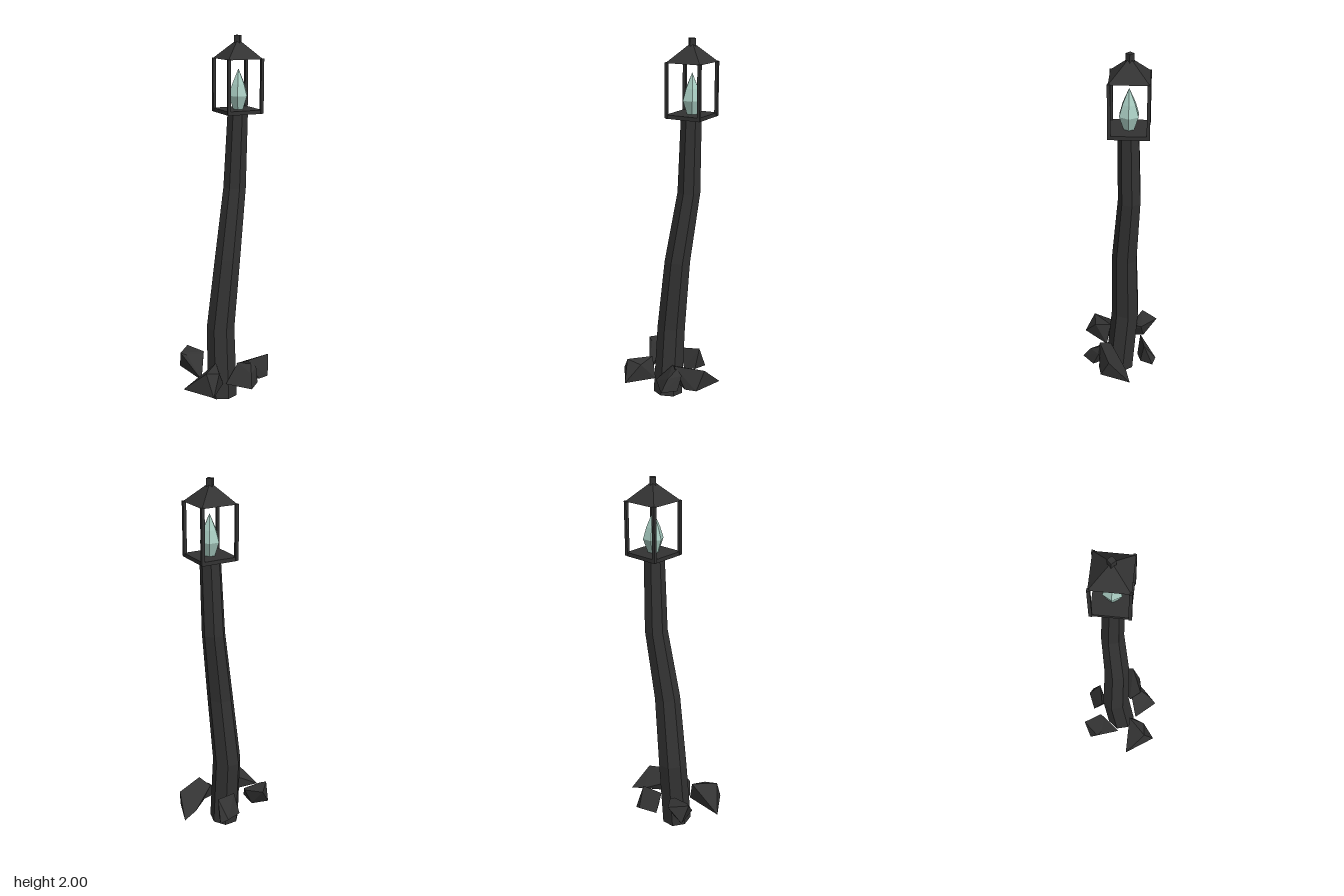
import * as THREE from 'three';
import { ConvexGeometry } from 'three/addons/geometries/ConvexGeometry.js';

const iron = new THREE.MeshStandardMaterial({ color: 0x333333 });
iron.name = 'dark iron';
const glow = new THREE.MeshStandardMaterial({ color: 0xa9cdc2 });
glow.name = 'pale teal';

// Faceted copy of a geometry
function facet(geometry) {
  const g = geometry.index ? geometry.toNonIndexed() : geometry;
  g.computeVertexNormals();
  return g;
}

function add(parent, name, geometry, material, x = 0, y = 0, z = 0) {
  const mesh = new THREE.Mesh(facet(geometry), material);
  mesh.name = name;
  mesh.position.set(x, y, z);
  parent.add(mesh);
  return mesh;
}

// Crooked seven-sided pole: each ring is [x, y, z, radius, tilt towards z]
function poleGeometry() {
  const rings = [
    [-0.017, 0.01, -0.005, 0.083, 0.1],
    [-0.0135, 0.41, -0.038, 0.079, 0.04],
    [0.027, 0.81, -0.034, 0.071, 0.03],
    [0.081, 1.2, -0.06, 0.062, 0],
    [0.095, 1.605, -0.054, 0.055, 0],
  ];
  const g = new THREE.CylinderGeometry(1, 1, 1, 7, rings.length - 1);
  const p = g.attributes.position;
  for (let i = 0; i < p.count; i++) {
    const [x, y, z, r, tilt] = rings[Math.round((p.getY(i) + 0.5) * (rings.length - 1))];
    const dz = p.getZ(i) * r;
    p.setXYZ(i, x + p.getX(i) * r, y + dz * tilt, z + dz);
  }
  return g;
}

// Corner points of each angular stone around the pole
const stones = {
  stoneBackRight: [
    [-0.143, 0.25, -0.218], [-0.079, 0.235, -0.127], [-0.22, 0.25, -0.132], [-0.19, 0.24, -0.11],
    [-0.092, 0.23, -0.102], [-0.207, 0.15, -0.177], [-0.143, 0.12, -0.011], [-0.12, 0.14, -0.14],
  ],
  stoneFrontRight: [
    [-0.186, 0.24, 0.157], [-0.084, 0.24, 0.055], [-0.105, 0.22, 0.146],
    [-0.277, 0.12, 0.052], [-0.168, 0.12, 0.214], [-0.05, 0.12, 0.077],
  ],
  stoneFront: [
    [0.05, 0.22, 0.057], [0.105, 0.23, 0.105], [0.08, 0.19, 0.165], [0.137, 0.2, 0.11],
    [-0.04, 0.12, 0.09], [0.063, 0.12, 0.207], [0.13, 0.12, 0.143], [0.08, 0.12, 0.06],
  ],
  stoneLeft: [
    [0.087, 0.245, 0.107], [0.245, 0.23, 0.045], [0.047, 0.21, 0.045], [0.195, 0.14, -0.05],
    [0.277, 0.12, -0.075], [0.22, 0.12, 0.093], [0.157, 0.12, 0.107], [0.08, 0.12, 0.06],
  ],
  stoneBack: [
    [0.107, 0.245, -0.15], [-0.01, 0.235, -0.125], [0.08, 0.14, -0.217], [0.12, 0.12, -0.2],
    [-0.016, 0.13, -0.177], [0.03, 0.12, -0.11], [0.09, 0.12, -0.13],
  ],
};

export function createModel() {
  const model = new THREE.Group();
  model.name = 'crookedLanternPost';

  add(model, 'pole', poleGeometry(), iron);

  // Stones
  for (const [name, points] of Object.entries(stones)) {
    add(model, name, new ConvexGeometry(points.map((p) => new THREE.Vector3(...p))), iron);
  }

  // Lantern, centred on the pole top
  const lantern = new THREE.Group();
  lantern.name = 'lantern';
  lantern.position.set(0.095, 0, -0.056);
  model.add(lantern);

  add(lantern, 'lanternBase', new THREE.BoxGeometry(0.195, 0.02, 0.195), iron, 0, 1.61, 0);
  for (const sx of [-1, 1]) {
    for (const sz of [-1, 1]) {
      add(lantern, 'lanternBar', new THREE.BoxGeometry(0.016, 0.28, 0.016), iron, sx * 0.094, 1.743, sz * 0.094);
    }
  }

  // Pyramid roof and its finial
  const roof = new THREE.ConeGeometry(0.098 * Math.SQRT2, 0.1, 4);
  roof.rotateY(Math.PI / 4);
  add(lantern, 'lanternRoof', roof, iron, 0, 1.93, 0);
  add(lantern, 'finial', new THREE.CylinderGeometry(0.021, 0.021, 0.05, 4), iron, 0, 1.975, 0);

  // Flame
  const profile = [[0, 1.615], [0.028, 1.615], [0.054, 1.69], [0.036, 1.75], [0, 1.83]];
  const flame = new THREE.LatheGeometry(profile.map(([r, y]) => new THREE.Vector2(r, y)), 6);
  flame.rotateY(Math.PI / 6);
  add(lantern, 'flame', flame, glow, 0.003, 0, 0.002);

  return model;
}
